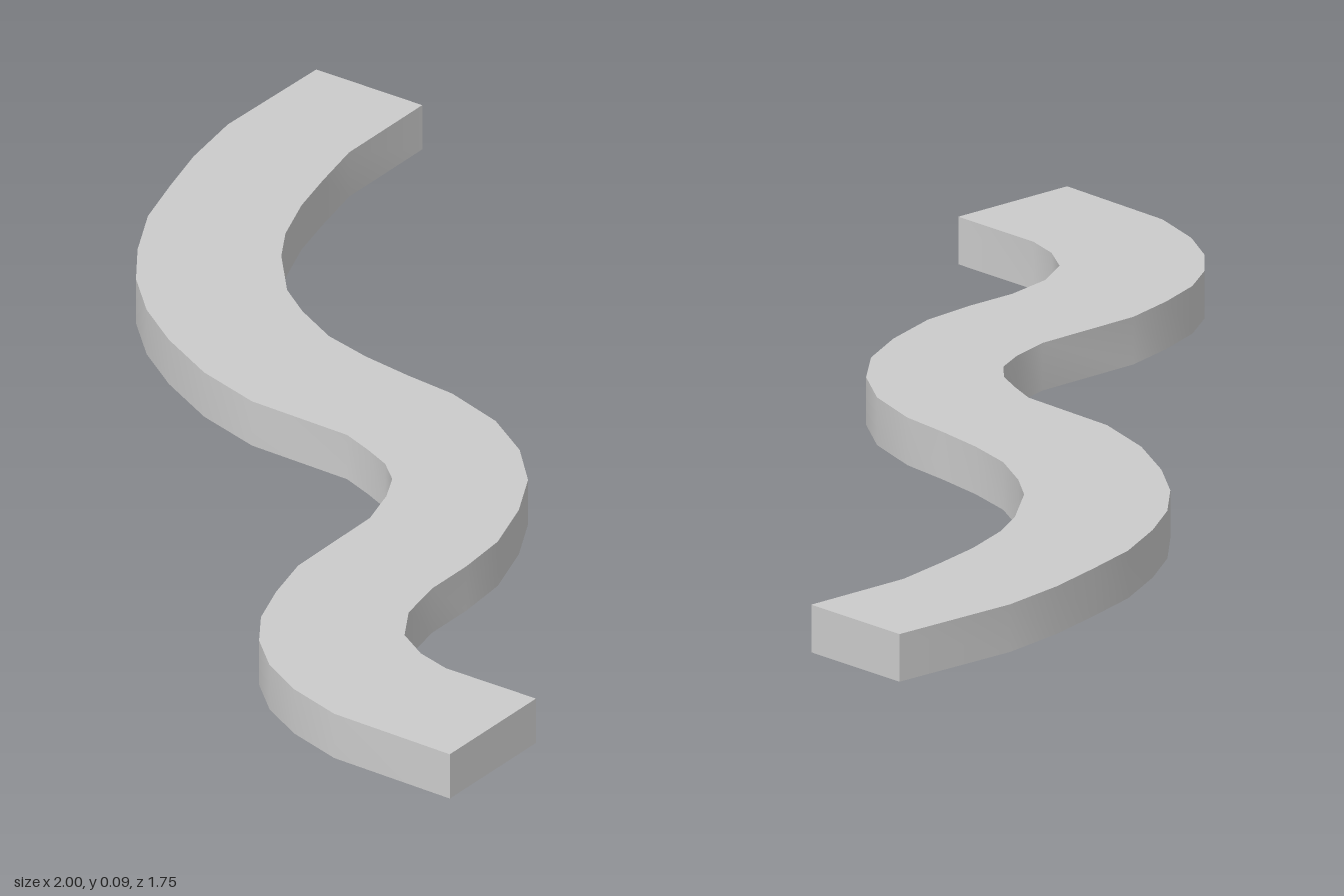
import * as THREE from 'three';
import { toCreasedNormals } from 'three/addons/utils/BufferGeometryUtils.js';

// Plan outline as [x, z]: the far-left edge of the strip, front end to back end
const leftEdge = [
  [-1, 0.87], [-0.995, 0.61], [-0.96, 0.495], [-0.91, 0.405], [-0.845, 0.335], [-0.77, 0.285],
  [-0.675, 0.25], [-0.57, 0.223], [-0.345, 0.22], [-0.26, 0.195], [-0.2, 0.165], [-0.16, 0.12],
  [-0.135, 0.065], [-0.11, 0], [-0.105, -0.215], [-0.065, -0.35], [0, -0.475], [0.07, -0.575],
  [0.155, -0.66], [0.25, -0.725], [0.365, -0.785], [0.48, -0.82], [0.6, -0.853], [0.735, -0.875],
  [1, -0.87],
];
// The opposite edge, front end to back end
const rightEdge = [
  [-0.735, 0.87], [-0.735, 0.67], [-0.715, 0.6], [-0.675, 0.535], [-0.6, 0.49], [-0.5, 0.47],
  [-0.395, 0.47], [-0.285, 0.46], [-0.165, 0.42], [-0.06, 0.365], [0.025, 0.285], [0.09, 0.185],
  [0.13, 0.06], [0.14, -0.045], [0.155, -0.15], [0.18, -0.25], [0.23, -0.345], [0.28, -0.415],
  [0.38, -0.5], [0.455, -0.545], [0.56, -0.585], [0.66, -0.61], [0.775, -0.635], [1, -0.635],
];
const thickness = 0.09;

export function createModel() {
  const group = new THREE.Group();
  group.name = 'windingPath';

  // Winding slab: both edges joined into one outline, extruded upward
  const outline = [...leftEdge, ...[...rightEdge].reverse()];
  const shape = new THREE.Shape(outline.map(([x, z]) => new THREE.Vector2(x, -z)));
  const slab = new THREE.ExtrudeGeometry(shape, { depth: thickness, bevelEnabled: false });
  slab.rotateX(-Math.PI / 2);

  // Smooth along the bends, sharp at the rims and ends
  const path = new THREE.Mesh(
    toCreasedNormals(slab, 0.7),
    new THREE.MeshStandardMaterial({ color: 0xcccccc }),
  );
  path.name = 'pathSlab';
  group.add(path);
  return group;
}
